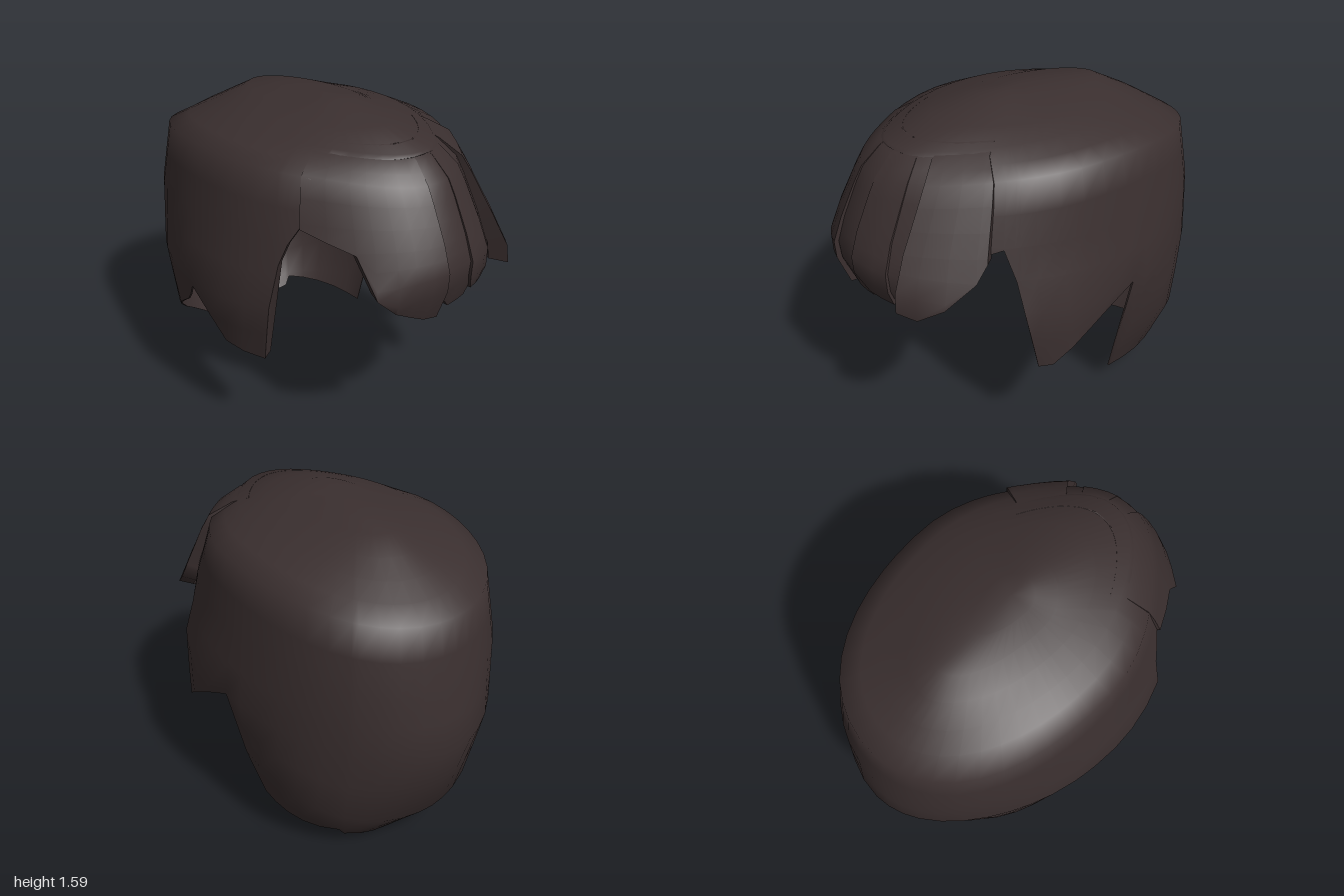
import * as THREE from 'three';
import { toCreasedNormals } from 'three/addons/utils/BufferGeometryUtils.js';

const hairDark = new THREE.MeshStandardMaterial({ color: 0x3a2f2f });
hairDark.name = 'dark brown hair';

// Head profiles from crown to nape as [radius, height], row by row
const SIDE = [[0, 1.59], [0.2, 1.555], [0.42, 1.49], [0.6, 1.41], [0.66, 1.1], [0.72, 0.76], [0.66, 0.46], [0.5, 0]];
const BACK = [[0, 1.59], [0.47, 1.55], [0.7, 1.43], [0.9, 1.31], [0.96, 1.0], [1.0, 0.67], [0.84, 0.2], [0.66, 0]];
const FRONT = [[0, 1.59], [0.22, 1.585], [0.71, 1.47], [0.83, 1.35], [0.93, 1.13], [0.98, 0.97], [0.84, 0.6], [0.66, 0]];
// Fullness of the diagonal corners, row by row
const CORNER_LEFT = [0, 0, 0.02, 0.04, 0.03, -0.01, 0.1, 0.17].map((b) => [b]);
const CORNER_RIGHT = [0, 0, 0, 0.03, 0.02, -0.03, 0.03, 0.06].map((b) => [b]);
const CORNER_FRONT = [0, 0, -0.05, -0.07, -0.03, 0, 0, 0].map((b) => [b]);
const LAST = 7;
const STEPS = 14;

const { lerp, clamp, degToRad } = THREE.MathUtils;

function along(profile, s) {
  const i = Math.min(Math.floor(s), LAST - 1);
  return profile[i].map((v, k) => lerp(v, profile[i + 1][k], s - i));
}

// Point on the head at angle a (0 = +x, 90 degrees = front) and row s
function headPoint(a, s) {
  const c = Math.cos(a), n = Math.sin(a);
  const side = along(SIDE, s);
  const end = along(n > 0 ? FRONT : BACK, s);
  const y = side[1] * c * c + end[1] * n * n;
  const corner = n > 0 ? CORNER_FRONT : c > 0 ? CORNER_LEFT : CORNER_RIGHT;
  const full = 1 + along(corner, s)[0] * Math.sin(2 * a) ** 2;
  let x = side[0] * c * full;
  const z = end[0] * n * full;
  // the locks in front of the ears hang straighter than the nape
  const lock = clamp((z + 0.15) / 0.4, 0, 1) * Math.max(0, 0.85 - y);
  if (Math.abs(c) > 0.8) x *= 1 + lock * (c > 0 ? 0.42 : 0.2);
  return new THREE.Vector3(x, y, z);
}

// Row at which a column reaches its cut height
function cutRow(a, cut) {
  let lo = 0, hi = LAST;
  for (let i = 0; i < 24; i++) {
    const mid = (lo + hi) / 2;
    if (headPoint(a, mid).y > cut) lo = mid; else hi = mid;
  }
  return lo;
}

// Shell following the head; columns are [degrees, cut height]
function hairShell(name, columns, { top = 0, scale = 1, flare = 0 } = {}) {
  const cols = [];
  columns.forEach(([deg, cut], i) => {
    if (i > 0) {
      const [d0, c0] = columns[i - 1];
      const n = Math.ceil((deg - d0) / 9);
      for (let k = 1; k < n; k++) cols.push([lerp(d0, deg, k / n), lerp(c0, cut, k / n)]);
    }
    cols.push([deg, cut]);
  });

  const pos = [], index = [];
  const loop = 2 * (STEPS + 1);
  cols.forEach(([deg, cut]) => {
    const a = degToRad(deg);
    const end = Math.max(cutRow(a, cut), top);
    const outer = [], inner = [];
    for (let j = 0; j <= STEPS; j++) {
      const s = Math.min(lerp(top, LAST, j / STEPS), end);
      const p = headPoint(a, s);
      const f = scale + flare * (s - top) / (LAST - top);
      p.x *= f;
      p.z *= f;
      outer.push(p);
      // thin over crown and nape, thick in the fringe and side locks
      const heavy = clamp((Math.sin(a) + 0.1) / 0.4, 0, 1) * clamp((s - 2) / 2, 0, 1);
      const keep = 1 - lerp(0.012, 0.095, heavy);
      const q = p.clone();
      q.x *= keep;
      q.z *= keep;
      if (q.y > 0.9) q.y = 0.9 + (q.y - 0.9) * keep;
      inner.unshift(q);
    }
    [...outer, ...inner].forEach((p) => pos.push(p.x, p.y, p.z));
  });

  const quad = (a, b, c, d) => index.push(a, b, c, a, c, d);
  for (let i = 0; i < cols.length - 1; i++) {
    for (let j = 0; j < loop; j++) {
      const k = (j + 1) % loop;
      quad(i * loop + j, (i + 1) * loop + j, (i + 1) * loop + k, i * loop + k);
    }
  }
  // close both ends
  const e = (cols.length - 1) * loop;
  for (let j = 0; j < STEPS; j++) {
    const q = loop - 1 - j;
    quad(q, j, j + 1, q - 1);
    quad(e + q - 1, e + j + 1, e + j, e + q);
  }

  const geo = new THREE.BufferGeometry();
  geo.setAttribute('position', new THREE.Float32BufferAttribute(pos, 3));
  geo.setIndex(index);
  const mesh = new THREE.Mesh(toCreasedNormals(geo, 1.15), hairDark);
  mesh.name = name;
  return mesh;
}

export function createModel() {
  const group = new THREE.Group();
  group.name = 'hair';

  // Cap with nape, ear notches and side locks
  group.add(hairShell('hairCap', [
    [-214, 1.18], [-210, 1.1], [-207.5, 1.0], [-206, 0.49], [-189, 0.5], [-173, 0.7],
    [-169, 0.62], [-165, 0.56], [-150, 0.42], [-135, 0.27], [-110, 0.06], [-90, 0],
    [-72, 0.04], [-57, 0.08], [-55, 0.13], [-17, 0.1], [-10.5, 0.76], [21, 0.48],
    [26, 0.48], [27.5, 0.95], [31, 1.1], [37, 1.08], [42, 1.3], [48, 1.45], [90, 1.46],
    [138, 1.45], [142, 1.3], [146, 1.18],
  ]));

  // Fringe strands
  const strands = [
    ['fringeRight', [[97, 0.76], [103, 0.77], [115, 0.84], [122, 0.92], [128, 1.1], [146, 1.18]], 0.05],
    ['fringeMiddle', [[80, 0.79], [90, 0.78], [96, 0.86], [101, 1.0]], 0.01],
    ['fringeLeft', [[68, 0.81], [79, 0.83], [84, 0.92]], 0.03],
    ['fringeOuterLeft', [[58, 0.87], [70, 0.83]], 0.005],
    ['templeStrand', [[35, 1.08], [38, 1.0], [46, 0.9], [54, 0.84], [60, 0.87]], 0.2],
  ];
  for (const [name, columns, flare] of strands) {
    group.add(hairShell(name, columns, { top: 1.8, scale: 1.003, flare }));
  }
  return group;
}
